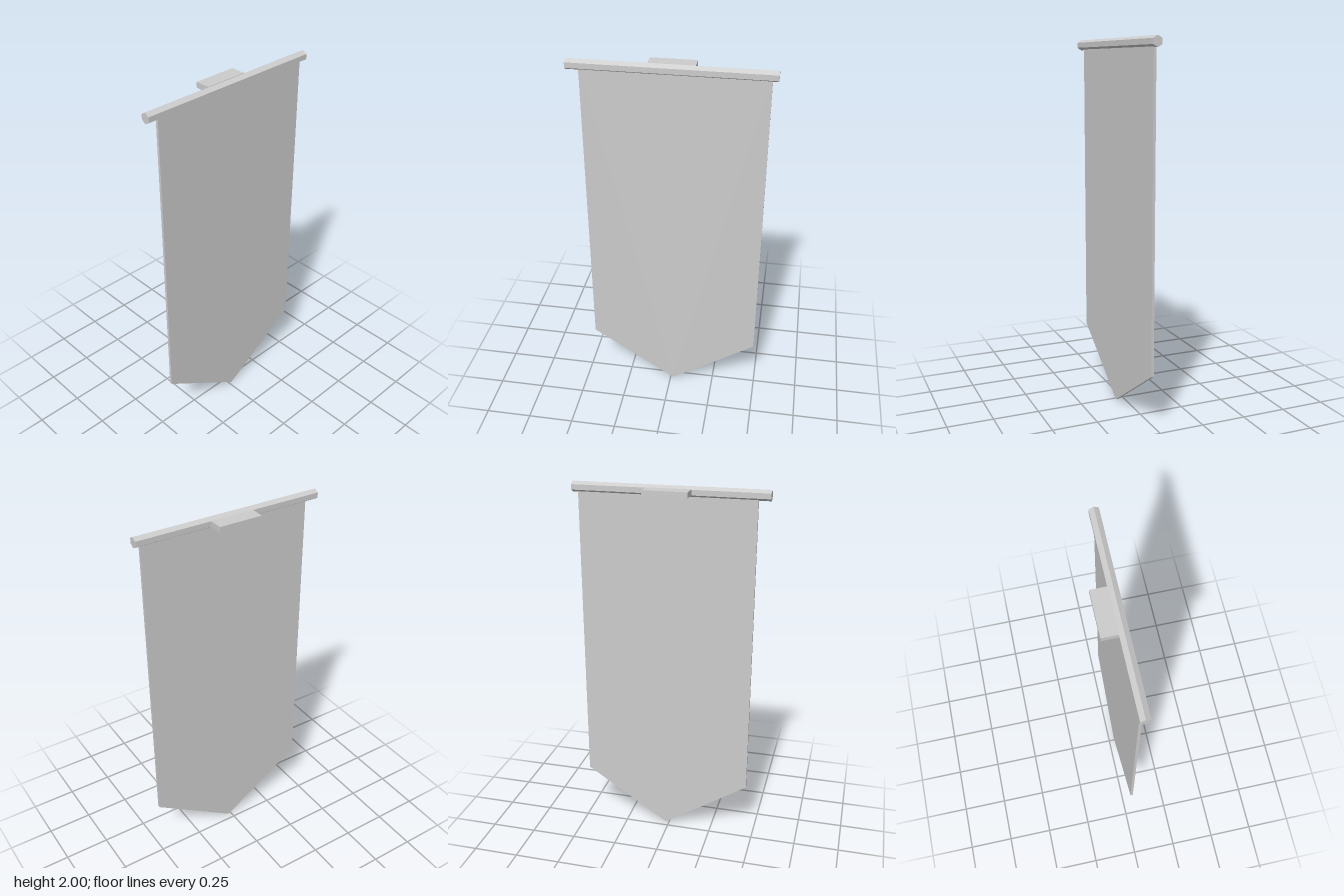
import * as THREE from 'three';

export function createModel() {
  const model = new THREE.Group();
  const material = new THREE.MeshStandardMaterial({ color: 0xcccccc, flatShading: true });
  const rodY = 1.972, rodZ = 0.04;

  function addPart(name, geometry, x, y, z) {
    const mesh = new THREE.Mesh(geometry, material);
    mesh.name = name;
    mesh.position.set(x, y, z);
    model.add(mesh);
  }

  // Six-sided rod lying along x, with an edge on top
  const rod = new THREE.CylinderGeometry(0.028, 0.028, 1.036, 6, 1, false, Math.PI / 2);
  rod.rotateZ(Math.PI / 2);
  addPart('rod', rod, 0, rodY, rodZ);

  // Wall bracket behind the rod
  addPart('bracket', new THREE.BoxGeometry(0.236, 0.03, 0.081), 0, 1.973, -0.0245);

  // Cloth hanging from the rod, pointed at the bottom
  const halfWidth = 0.471, thickness = 0.014;
  const outline = new THREE.Shape([
    new THREE.Vector2(0, 0),
    new THREE.Vector2(halfWidth, 0.31),
    new THREE.Vector2(halfWidth, rodY),
    new THREE.Vector2(-halfWidth, rodY),
    new THREE.Vector2(-halfWidth, 0.31),
  ]);
  const cloth = new THREE.ExtrudeGeometry(outline, { depth: thickness, bevelEnabled: false });
  addPart('cloth', cloth, 0.017, 0, rodZ - thickness / 2);

  return model;
}
